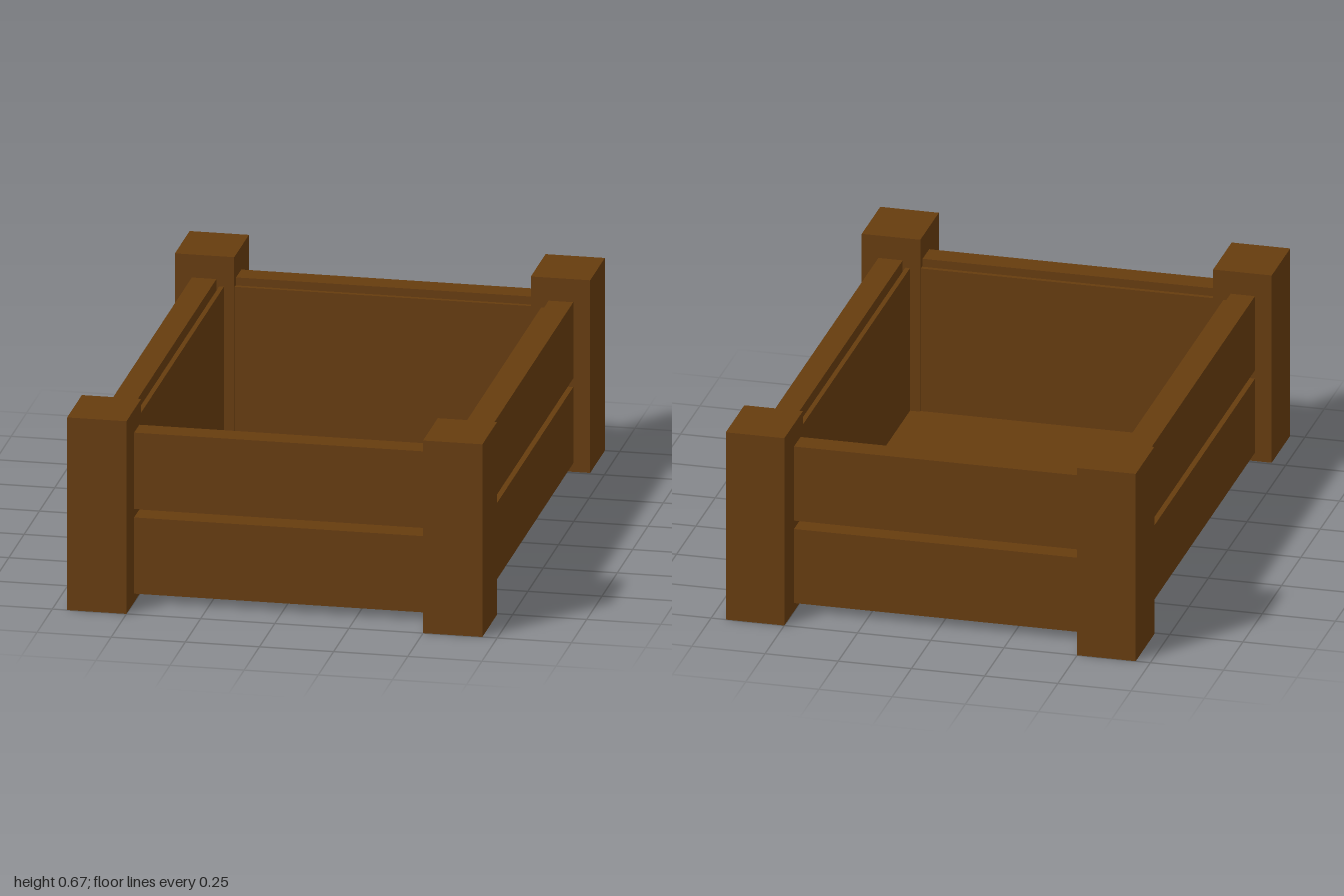
import * as THREE from 'three';

export function createModel() {
  const model = new THREE.Group();
  model.name = 'woodenCrate';
  const wood = new THREE.MeshStandardMaterial({ color: 0x663c0e, flatShading: true });

  // Box given by its lower and upper limits on each axis
  function block(name, [x0, x1], [y0, y1], [z0, z1]) {
    const mesh = new THREE.Mesh(new THREE.BoxGeometry(x1 - x0, y1 - y0, z1 - z0), wood);
    mesh.position.set((x0 + x1) / 2, (y0 + y1) / 2, (z0 + z1) / 2);
    mesh.name = name;
    model.add(mesh);
  }
  // Range mirrored to the given side of an axis
  const side = (s, a, b) => (s > 0 ? [a, b] : [-b, -a]);

  const plankHeights = [[0.03, 0.295], [0.325, 0.59]];
  const linerHeight = [0.03, 0.565];

  for (const s of [1, -1]) {
    const lr = s > 0 ? 'left' : 'right';
    const fb = s > 0 ? 'front' : 'back';

    // Corner posts
    for (const t of [1, -1]) {
      block(`${lr}${t > 0 ? 'Front' : 'Back'}Post`, side(s, 0.5, 0.7), [0, 0.67], side(t, 0.76, 1));
    }

    // Two outer planks per wall, ends let into the posts
    plankHeights.forEach((h, i) => {
      const level = i ? 'Upper' : 'Lower';
      block(`${lr}${level}Plank`, side(s, 0.56, 0.643), h, [-0.85, 0.85]);
      block(`${fb}${level}Plank`, [-0.58, 0.58], h, side(s, 0.79, 0.875));
    });

    // Thin inner panels, just clear of the planks
    block(`${lr}InnerPanel`, side(s, 0.535, 0.551), linerHeight, [-0.78, 0.78]);
    block(`${fb}InnerPanel`, [-0.535, 0.535], linerHeight, side(s, 0.766, 0.782));
  }

  // Floor
  block('floor', [-0.535, 0.535], [0.035, 0.055], [-0.766, 0.766]);

  return model;
}
